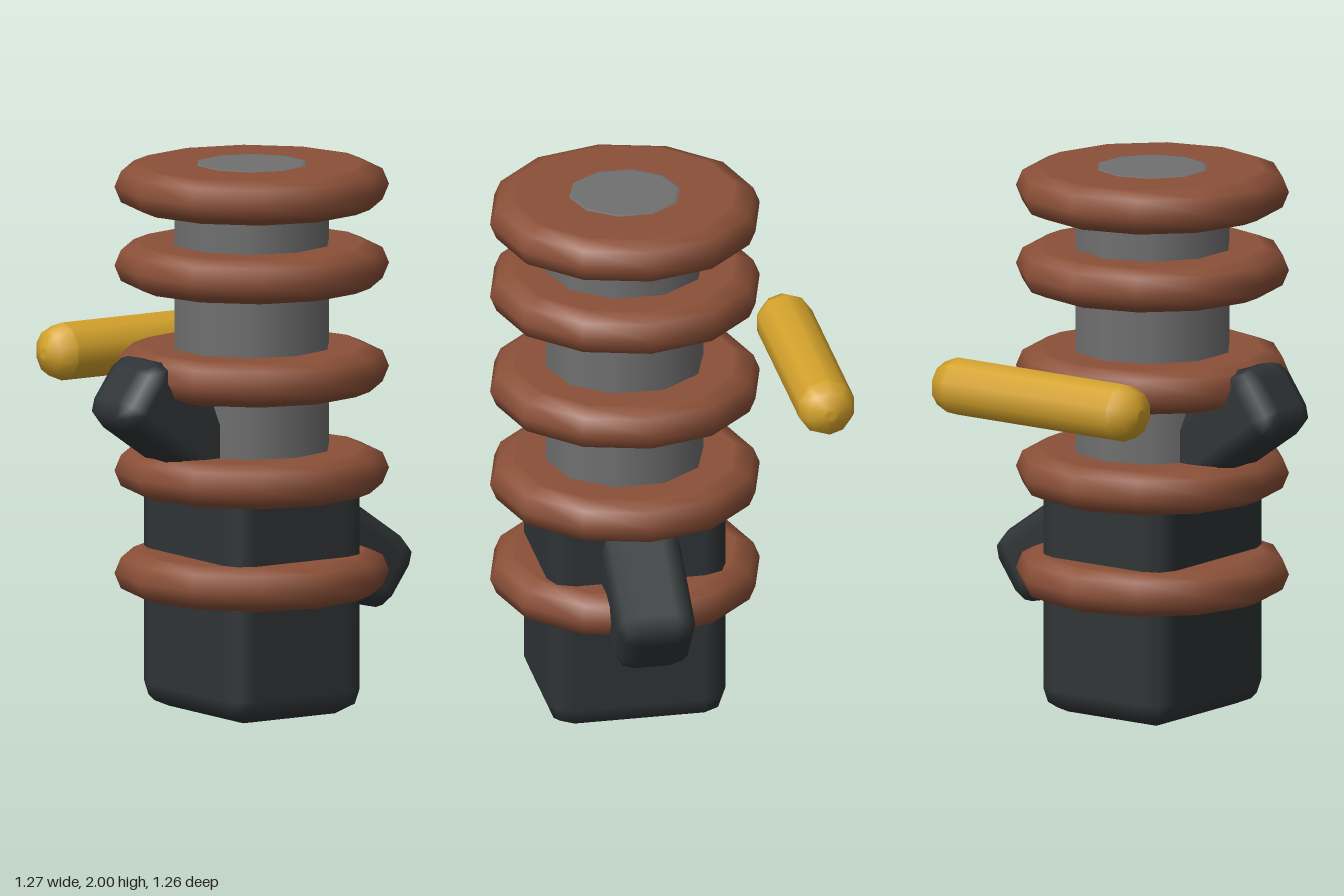
import * as THREE from 'three';
import { RoundedBoxGeometry } from 'three/addons/geometries/RoundedBoxGeometry.js';

const material = (color) => new THREE.MeshStandardMaterial({ color });
const DARK = material(0x303436);
const GREY = material(0x707070);
const BROWN = material(0x8b5038);
const GOLD = material(0xd4a22c);
const AXIS_Z = 0.133;

// Upright faceted drum with two-step rounded rims, centred on its origin
function drumGeometry(radius, height, bevel, sides) {
  const h = height / 2;
  const flat = radius - bevel;
  const s = Math.SQRT1_2 * bevel;
  const half = [
    [0, h],
    [flat - 0.01, h],
    [flat, h],
    [flat + s, h - bevel + s],
    [radius, h - bevel],
  ];
  // Extra rows beside the rim keep long walls evenly shaded
  if (h - bevel > 0.02) half.push([radius, h - bevel - 0.01]);
  const lower = half.map(([r, y]) => [r, -y]);
  const upper = half.slice().reverse();
  if (h - bevel < 0.001) upper.shift();
  const profile = [...lower, ...upper].map(([r, y]) => new THREE.Vector2(r, y));
  return new THREE.LatheGeometry(profile, sides);
}

export function createModel() {
  const model = new THREE.Group();
  model.name = 'ringedColumn';

  const add = (name, geometry, mat, x, y, z) => {
    const mesh = new THREE.Mesh(geometry, mat);
    mesh.name = name;
    mesh.position.set(x, y, z);
    model.add(mesh);
    return mesh;
  };

  // Square base block
  add('baseBlock', new RoundedBoxGeometry(0.58, 0.94, 0.66, 1, 0.09), DARK, 0, 0.47, AXIS_Z);

  // Slanted bar passing through the body, showing as an arm on each side
  const bar = add('slantedBar', new RoundedBoxGeometry(1.43, 0.29, 0.29, 1, 0.08), DARK, 0, 0.834, AXIS_Z);
  bar.rotation.z = -THREE.MathUtils.degToRad(35);

  // Ten-sided column, its top level with the highest ring
  add('column', drumGeometry(0.29, 1.2, 0.09, 10), GREY, 0, 1.4, AXIS_Z);

  // Stack of twelve-sided rings
  const ring = drumGeometry(0.497, 0.16, 0.08, 12);
  [0.505, 0.88, 1.252, 1.63, 1.918].forEach((y, i) => {
    add('ring' + (i + 1), ring, BROWN, 0, y, AXIS_Z);
  });

  // Horizontal rod floating behind the column
  const rod = drumGeometry(0.106, 0.916, 0.08, 10);
  rod.rotateY(Math.PI / 2).rotateZ(-Math.PI / 2);
  add('rearRod', rod, GOLD, 0, 1.254, -0.533);

  return model;
}
